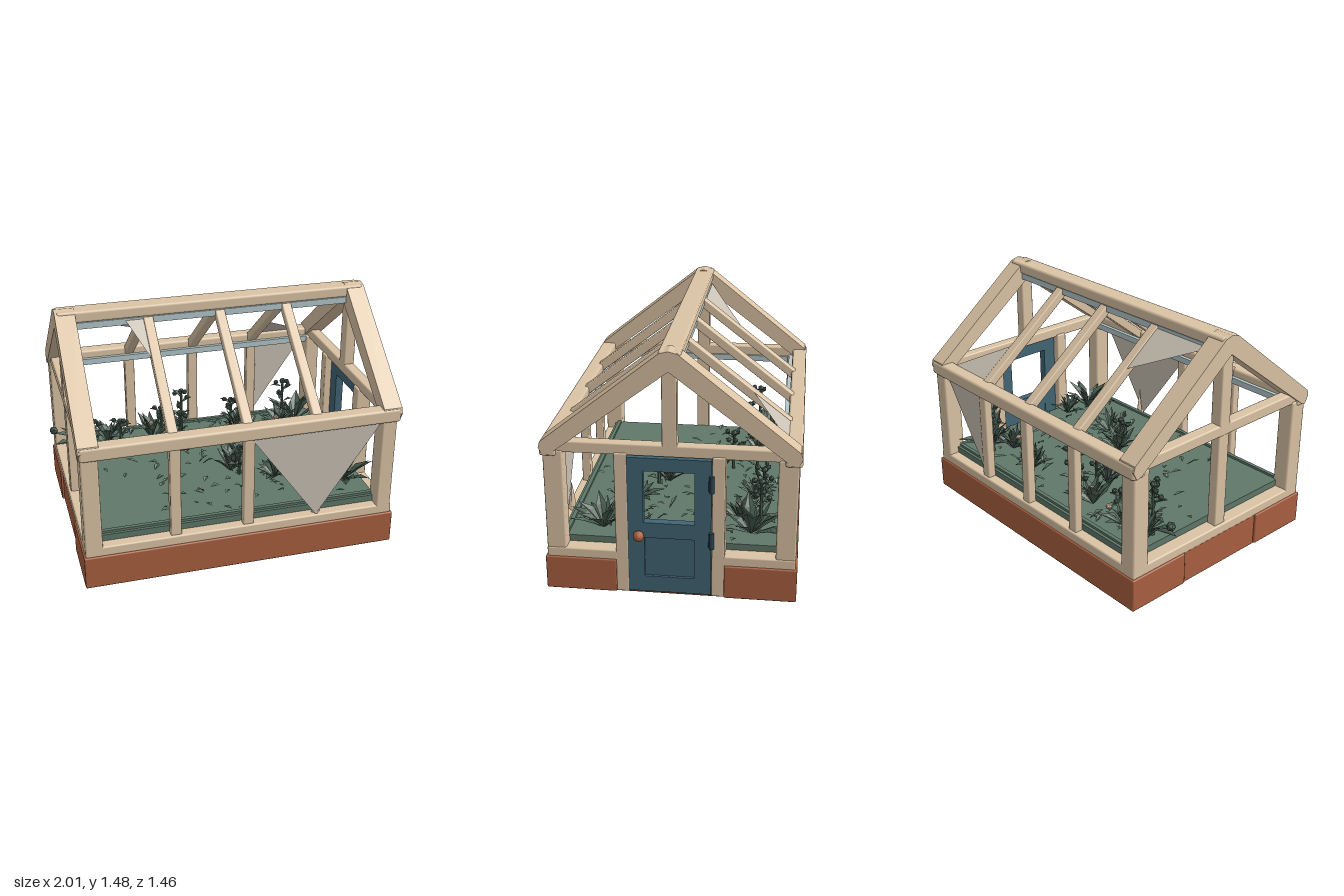
import * as THREE from 'three';
import { mergeGeometries } from 'three/addons/utils/BufferGeometryUtils.js';
import { RoundedBoxGeometry } from 'three/addons/geometries/RoundedBoxGeometry.js';

const mat = (name, color, extra = {}) => Object.assign(new THREE.MeshStandardMaterial({ color, ...extra }), { name });

export function createModel() {
  const M = {
    wood: mat('cream wood', 0xdcc4a5),
    brick: mat('terracotta', 0xaa6040),
    under: mat('dark underside', 0x8a4f38),
    door: mat('blue door', 0x426575),
    hinge: mat('dark blue iron', 0x2c4350),
    soil: mat('green bed', 0x5f786a, { side: THREE.DoubleSide }),
    leaf: mat('dark leaf', 0x4a5f53, { side: THREE.DoubleSide, flatShading: true }),
    pane: mat('dusty pane', 0xc9c1b4, { side: THREE.DoubleSide }),
    glass: mat('pale blue glass', 0xb4c8cc),
  };
  const root = new THREE.Group();
  let seed = 7;
  const rnd = (a, b) => {
    seed = (seed * 16807) % 2147483647;
    return a + (b - a) * seed / 2147483647;
  };
  const add = (name, geo, m) => {
    const mesh = new THREE.Mesh(geo, m);
    mesh.name = name;
    root.add(mesh);
    return mesh;
  };
  // Box given by its limits on each axis, with softened edges when r > 0
  const box = (name, m, x0, x1, y0, y1, z0, z1, r = 0) => {
    const s = [x1 - x0, y1 - y0, z1 - z0];
    const mesh = add(name, r ? new RoundedBoxGeometry(...s, 1, r) : new THREE.BoxGeometry(...s), m);
    mesh.position.set((x0 + x1) / 2, (y0 + y1) / 2, (z0 + z1) / 2);
  };
  // Shape in the (-z, y) plane, extruded along x from x0 to x1
  const slab = (name, m, pts, x0, x1, holes = []) => {
    const toV = (a) => a.map(([u, v]) => new THREE.Vector2(u, v));
    const shape = new THREE.Shape(toV(pts));
    holes.forEach((h) => shape.holes.push(new THREE.Path(toV(h))));
    const geo = new THREE.ExtrudeGeometry(shape, { depth: x1 - x0, bevelEnabled: false });
    geo.rotateY(Math.PI / 2).translate(x0, 0, 0);
    add(name, geo, m);
  };
  const rect = (a, b, c, d) => [[a, c], [b, c], [b, d], [a, d]];

  // Terracotta plinth with a doorway gap on the right and a shallow recess on the left
  box('plinthCore', M.brick, -0.94, 0.9, 0.004, 0.21, -0.71, 0.71);
  for (const s of [-1, 1]) {
    const [a, b] = s > 0 ? [0.31, 0.725] : [-0.725, -0.31];
    box('plinthEnd', M.brick, 0.85, 0.975, 0.004, 0.212, a, b, 0.008);
    box('plinthEnd', M.brick, -0.955, -0.85, 0.004, 0.212, a, b, 0.008);
    box('plinthSide', M.brick, -0.955, 0.975, 0.004, 0.212, s > 0 ? 0.62 : -0.725, s > 0 ? 0.725 : -0.62, 0.008);
  }
  box('underside', M.under, -0.94, 0.955, 0.001, 0.005, -0.715, 0.715);

  // Planting bed filling the inside
  box('plantingBed', M.soil, -0.86, 0.88, 0.2, 0.31, -0.65, 0.65);
  for (const s of [-1, 1]) box('bedEdge', M.soil, -0.84, 0.87, 0.28, 0.325, s * 0.62 - 0.012, s * 0.62 + 0.012);

  const bars = [-0.4, 0.045, 0.47];
  const roofY = (z) => 1.455 - 0.78 * Math.abs(z);
  for (const s of [-1, 1]) {
    const zBox = (name, m, x0, x1, y0, y1, zi, zo, r) =>
      box(name, m, x0, x1, y0, y1, Math.min(s * zi, s * zo), Math.max(s * zi, s * zo), r);
    // Sills, eaves and corner posts of the long walls
    zBox('longSill', M.wood, -0.945, 0.965, 0.205, 0.27, 0.635, 0.715, 0.01);
    zBox('eaveBeam', M.wood, -0.95, 0.975, 0.845, 0.93, 0.635, 0.73, 0.015);
    zBox('cornerPost', M.wood, -0.945, -0.84, 0.22, 0.88, 0.6, 0.715, 0.012);
    zBox('cornerPost', M.wood, 0.865, 0.96, 0.22, 0.88, 0.6, 0.715, 0.012);
    // Glazing beads along the inside of the long walls
    zBox('sillBead', M.glass, -0.84, 0.865, 0.255, 0.275, 0.615, 0.64);
    zBox('eaveBead', M.glass, -0.84, 0.865, 0.84, 0.88, 0.61, 0.636);
    zBox('ridgeBead', M.glass, -0.84, 0.865, 1.365, 1.405, 0.035, 0.055);
    bars.forEach((x, i) => {
      // Wall bars; one on the front is broken to a short splinter
      if (s > 0 && i === 2) {
        const spike = add('brokenBar', new THREE.ConeGeometry(0.03, 0.2, 4), M.wood);
        spike.position.set(x + 0.01, 0.36, 0.675);
      } else {
        zBox('wallBar', M.wood, x - 0.033, x + 0.033, 0.25, 0.86, 0.645, 0.7, 0.008);
      }
      // Sloping roof bars
      const bar = add('roofBar', new RoundedBoxGeometry(0.06, 0.055, 0.84, 1, 0.008), M.wood);
      bar.position.set(x, roofY(0.35) - 0.045, s * 0.35);
      bar.rotation.x = s * Math.atan(0.78);
    });
  }
  box('ridgeBeam', M.wood, -0.945, 0.97, 1.405, 1.476, -0.065, 0.06, 0.015);

  // Gable rafters as one chevron at each end
  const chevron = [[-0.05, 1.47], [-0.72, 0.935], [-0.73, 0.9], [-0.705, 0.85], [-0.67, 0.86], [0, 1.37],
    [0.67, 0.86], [0.705, 0.85], [0.73, 0.9], [0.72, 0.935], [0.05, 1.47], [0, 1.483]];
  slab('rightRafters', M.wood, chevron, 0.865, 0.98);
  slab('leftRafters', M.wood, chevron, -0.955, -0.835);

  // Gable walls: tie beam, king post and sills
  for (const [x0, x1] of [[0.885, 0.955], [-0.935, -0.86]]) {
    box('tieBeam', M.wood, x0, x1, 0.865, 0.935, -0.66, 0.66, 0.01);
    box('kingPost', M.wood, x0, x1, 0.92, 1.4, -0.042, 0.042, 0.008);
  }
  box('leftSill', M.wood, -0.945, -0.855, 0.205, 0.27, -0.7, 0.7, 0.01);
  box('leftMiddlePost', M.wood, -0.93, -0.865, 0.25, 0.88, -0.04, 0.045, 0.008);
  box('leftBead', M.glass, -0.86, -0.845, 0.83, 0.87, -0.6, 0.6);
  for (const s of [-1, 1]) {
    const [a, b] = s > 0 ? [0.3, 0.7] : [-0.7, -0.3];
    box('rightSill', M.wood, 0.87, 0.965, 0.205, 0.27, a, b, 0.01);
    box('doorPost', M.wood, 0.87, 0.965, 0.004, 0.88, s * 0.275 - 0.037, s * 0.275 + 0.037, 0.008);
  }

  // Door with a window opening and a sunken lower panel
  slab('door', M.door, rect(-0.24, 0.235, 0.015, 0.86), 0.915, 0.965,
    [rect(-0.15, 0.14, 0.46, 0.78), rect(-0.145, 0.14, 0.115, 0.365)]);
  box('doorPanel', M.door, 0.92, 0.95, 0.11, 0.37, -0.145, 0.15);
  for (const y of [0.72, 0.37]) {
    box('hingePlate', M.hinge, 0.955, 0.98, y - 0.045, y + 0.045, -0.25, -0.22, 0.006);
    const pin = add('hingePin', new THREE.CylinderGeometry(0.014, 0.014, 0.1, 6), M.hinge);
    pin.position.set(0.972, y, -0.238);
  }
  const knob = add('doorKnob', new THREE.IcosahedronGeometry(0.032, 1), M.brick);
  knob.position.set(0.99, 0.385, 0.175);
  const neck = add('knobNeck', new THREE.CylinderGeometry(0.015, 0.015, 0.04, 6).rotateZ(Math.PI / 2), M.brick);
  neck.position.set(0.97, 0.385, 0.175);

  // Remaining triangular panes in walls and roof, and a patch under the doorway
  const tri = (name, m, ...p) => {
    const geo = new THREE.BufferGeometry();
    geo.setAttribute('position', new THREE.Float32BufferAttribute(p.flat(), 3));
    geo.computeVertexNormals();
    add(name, geo, m);
  };
  const onRoof = (x, z) => [x, roofY(z) - 0.02, z];
  tri('frontPane', M.pane, [0.05, 0.85, 0.705], [0.47, 0.27, 0.705], [0.87, 0.86, 0.705]);
  tri('backPane', M.pane, [0.47, 0.85, -0.69], [0.87, 0.86, -0.69], [0.47, 0.27, -0.69]);
  tri('roofPane', M.pane, onRoof(-0.84, -0.06), onRoof(-0.41, -0.06), onRoof(-0.41, -0.31));
  tri('roofPane', M.pane, onRoof(0.86, -0.68), onRoof(0.48, -0.66), onRoof(0.48, -0.42));
  tri('roofPane', M.pane, onRoof(-0.54, 0.05), onRoof(-0.41, 0.31), onRoof(-0.41, 0.05));
  tri('doorwayPatch', M.soil, [0.95, 0, 0.25], [0.57, 0, 0.53], [0.95, 0, -0.25]);

  // One folded leaf growing along +z, then tilted up, turned and placed
  const leaf = (len, w, tilt, turn, x, y, z) => {
    const b = [0, 0, 0], l = [-w, w * 0.4, len * 0.6], r = [w, w * 0.4, len * 0.6], c = [0, 0, len * 0.6], t = [0, -w * 0.5, len];
    const geo = new THREE.BufferGeometry();
    geo.setAttribute('position', new THREE.Float32BufferAttribute([b, c, r, b, l, c, l, t, c, c, t, r].flat(), 3));
    geo.computeVertexNormals();
    return geo.rotateX(-tilt).rotateY(turn).translate(x, y, z);
  };
  // Small faceted bud, without texture coordinates so that it merges with leaves
  const bud = (r, x, y, z) => new THREE.IcosahedronGeometry(r, 0).deleteAttribute('uv').translate(x, y, z);
  const plant = (name, parts) => add(name, mergeGeometries(parts), M.leaf);
  const ground = 0.305;

  // Broad leafy rosettes
  const rosettes = [[0.76, 0.42, 0.23], [0.74, -0.45, 0.25], [0.6, -0.38, 0.18], [0.35, 0.27, 0.17], [0.1, 0.12, 0.2],
    [-0.3, -0.45, 0.2], [-0.6, -0.47, 0.19], [-0.8, -0.5, 0.2], [0.3, -0.45, 0.17], [0.78, 0.24, 0.16], [-0.18, -0.22, 0.18]];
  for (const [x, z, h] of rosettes) {
    const parts = [];
    for (let i = 0; i < 16; i++) {
      parts.push(leaf(h * rnd(0.75, 1.05), h * rnd(0.11, 0.17), rnd(0.35, 1.35), i * 2.4 + rnd(0, 0.5), x, ground, z));
    }
    plant('leafyPlant', parts);
  }

  // Tall stalks with side leaves and faceted buds
  const stalks = [[-0.79, -0.42, 0.34], [-0.72, -0.35, 0.24], [-0.09, -0.44, 0.34], [-0.14, -0.28, 0.26],
    [-0.22, -0.5, 0.2], [0.28, -0.5, 0.2], [-0.52, -0.42, 0.18], [0.14, 0.18, 0.2], [0.66, -0.5, 0.3]];
  for (const [x, z, h] of stalks) {
    const stem = new THREE.CylinderGeometry(0.008, 0.012, h, 5).toNonIndexed().deleteAttribute('uv');
    const parts = [stem.translate(x, ground + h / 2, z), bud(0.022, x, ground + h, z)];
    for (let i = 0; i < 9; i++) {
      const y = ground + h * (0.15 + i * 0.1), a = i * 2.4;
      parts.push(leaf(0.085, 0.022, rnd(0.1, 0.9), a, x, y, z));
      if (i > 3) parts.push(bud(0.018, x + Math.sin(a) * 0.045, y + 0.03, z + Math.cos(a) * 0.045));
    }
    plant('tallPlant', parts);
  }

  // Sprig leaning out past the left wall
  plant('leaningSprig', [bud(0.03, -0.965, 0.46, -0.45),
    leaf(0.17, 0.03, 0.5, -Math.PI / 2, -0.81, 0.37, -0.45), leaf(0.15, 0.03, 0.2, -1.4, -0.82, 0.36, -0.43)]);

  // Small seedlings scattered over the bed, leaving the front left clear
  const sprouts = [];
  for (let i = 0; i < 130; i++) {
    const x = rnd(-0.78, 0.82), z = rnd(-0.58, 0.56);
    if (x < -0.42 && z > 0) continue;
    sprouts.push(leaf(rnd(0.05, 0.1), rnd(0.012, 0.022), rnd(0.1, 0.8), rnd(0, 6.28), x, ground + 0.004, z));
  }
  add('seedlings', mergeGeometries(sprouts), M.soil);

  // A few cream blossoms
  for (const [x, y, z] of [[-0.3, 0.42, -0.46], [-0.5, 0.4, -0.5], [0.57, 0.4, -0.36]]) {
    add('blossom', bud(0.02, x, y, z), M.wood);
  }
  return root;
}
